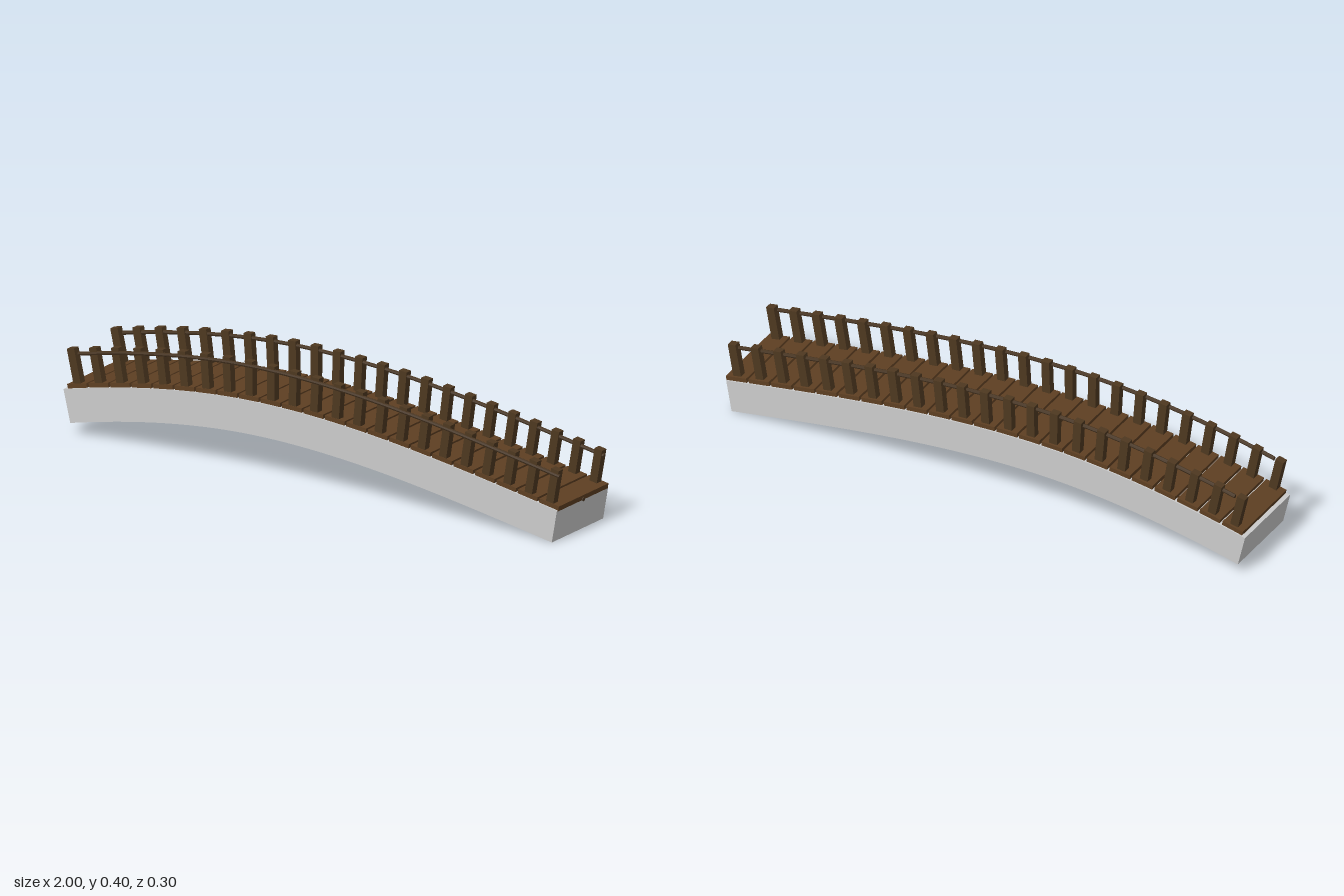
import * as THREE from 'three';

const PEAK = -0.2, PLANKS = 23;
const wood = (color) => new THREE.MeshStandardMaterial({ color, flatShading: true });
const grey = new THREE.MeshStandardMaterial({ color: 0xcccccc, flatShading: true });
const plankWood = wood(0x5e3f22), postWood = wood(0x4e3820), railWood = wood(0x46331f);

// Cubic Hermite between two heights with end slopes
function hermite(x, x0, y0, m0, x1, y1, m1) {
  const w = x1 - x0, t = (x - x0) / w, t2 = t * t, t3 = t2 * t;
  return (2 * t3 - 3 * t2 + 1) * y0 + (3 * t2 - 2 * t3) * y1 + w * ((t3 - 2 * t2 + t) * m0 + (t3 - t2) * m1);
}

// Height of the lopsided arch: short rise, long fall
function archY(x) {
  return x < PEAK
    ? hermite(x, -1, 0.16, 0.24, PEAK, 0.265, 0)
    : hermite(x, PEAK, 0.265, 0, 0.99, 0.12, -0.18);
}
const archAngle = (x) => Math.atan((archY(x + 0.005) - archY(x - 0.005)) / 0.01);

// Point raised from the arch along its normal
function above(x, h) {
  const a = archAngle(x);
  return new THREE.Vector2(x - Math.sin(a) * h, archY(x) + Math.cos(a) * h);
}

function box(name, sx, sy, sz, material) {
  const mesh = new THREE.Mesh(new THREE.BoxGeometry(sx, sy, sz), material);
  mesh.name = name;
  return mesh;
}

// Thin round rod following the arch
function rod(name, x0, x1, lift, z, radius) {
  const pts = [];
  for (let i = 0; i <= 24; i++) {
    const x = x0 + (x1 - x0) * i / 24;
    pts.push(new THREE.Vector3(x, archY(x) + lift, z));
  }
  const g = new THREE.Group();
  g.name = name;
  const curve = new THREE.CatmullRomCurve3(pts);
  g.add(new THREE.Mesh(new THREE.TubeGeometry(curve, 48, radius, 8), railWood));
  // End caps
  [[0, -Math.PI / 2], [24, Math.PI / 2]].forEach(([i, turn]) => {
    const cap = new THREE.Mesh(new THREE.CircleGeometry(radius, 8), railWood);
    cap.position.copy(pts[i]);
    cap.rotation.y = turn;
    g.add(cap);
  });
  return g;
}

export function createModel() {
  const bridge = new THREE.Group();
  bridge.name = 'bridge';

  // Solid arched base, constant thickness across the normal
  const top = [], bottom = [];
  for (let i = 0; i <= 40; i++) {
    const x = -1 + 1.99 * i / 40;
    top.push(above(x, 0));
    bottom.push(above(x, -0.117));
  }
  const shape = new THREE.Shape([...bottom, ...top.reverse()]);
  const baseGeo = new THREE.ExtrudeGeometry(shape, { depth: 0.3, bevelEnabled: false });
  baseGeo.translate(0, 0, -0.15);
  const base = new THREE.Mesh(baseGeo, grey);
  base.name = 'base';
  bridge.add(base);

  // Deck planks, each with a post on either side
  const deck = new THREE.Group(), posts = new THREE.Group();
  deck.name = 'deck';
  posts.name = 'posts';
  for (let i = 0; i < PLANKS; i++) {
    const x = -0.947 + 1.9 * i / (PLANKS - 1);
    const angle = archAngle(x);
    const plank = box('plank', 0.079, 0.018, 0.29, plankWood);
    const p = above(x, 0.006);
    plank.position.set(p.x, p.y, 0);
    plank.rotation.z = angle;
    deck.add(plank);
    for (const z of [0.13, -0.124]) {
      const post = box('post', 0.03, 0.13, 0.026, postWood);
      const q = above(x, 0.07);
      post.position.set(q.x, q.y, z);
      post.rotation.z = angle;
      posts.add(post);
    }
  }
  bridge.add(deck, posts);

  // Handrails and the rod under the planks
  bridge.add(rod('leftHandrail', -0.945, 0.995, 0.119, 0.14, 0.007));
  bridge.add(rod('rightHandrail', -0.945, 0.995, 0.119, -0.12, 0.007));
  bridge.add(rod('deckRod', -0.945, 0.995, 0, 0, 0.007));
  return bridge;
}
